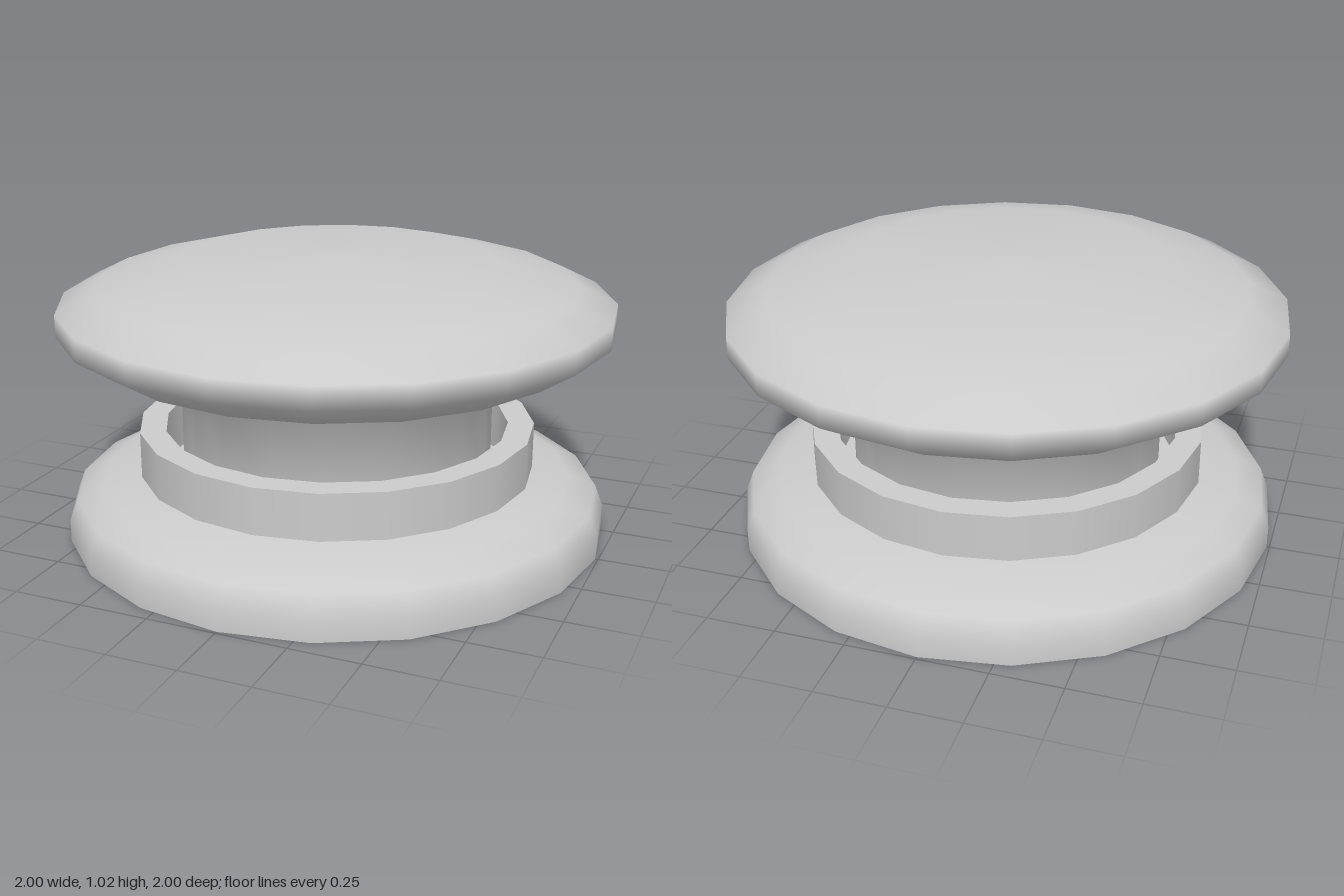
import * as THREE from 'three';

const SIDES = 20;

export function createModel() {
  const group = new THREE.Group();
  const material = new THREE.MeshStandardMaterial({ color: 0xcccccc, side: THREE.DoubleSide });

  // Revolves a [radius, height] profile; list it bottom to top for outward faces
  function addLathe(name, profile) {
    const points = profile.map(([r, y]) => new THREE.Vector2(r, y));
    const mesh = new THREE.Mesh(new THREE.LatheGeometry(points, SIDES), material);
    mesh.name = name;
    group.add(mesh);
  }

  // Hollow base flange, open underneath
  addLathe('baseFlange', [[0.99, 0], [0.99, 0.08], [0.96, 0.155], [0.86, 0.2], [0.72, 0.225]]);

  // Raised collar: each face is separate so its edges stay sharp
  addLathe('collarOuterWall', [[0.725, 0.22], [0.725, 0.393]]);
  addLathe('collarRim', [[0.725, 0.393], [0.63, 0.393]]);
  addLathe('collarInnerWall', [[0.63, 0.393], [0.63, 0.215]]);
  addLathe('collarFloor', [[0, 0.215], [0.63, 0.215]]);

  // Stem flowing into the wide domed cap
  addLathe('stemAndCap', [
    [0.57, 0.215], [0.57, 0.645],
    [0.87, 0.685], [1, 0.77], [1, 0.85], [0.86, 0.92], [0.57, 0.997], [0, 1.02],
  ]);

  return group;
}
